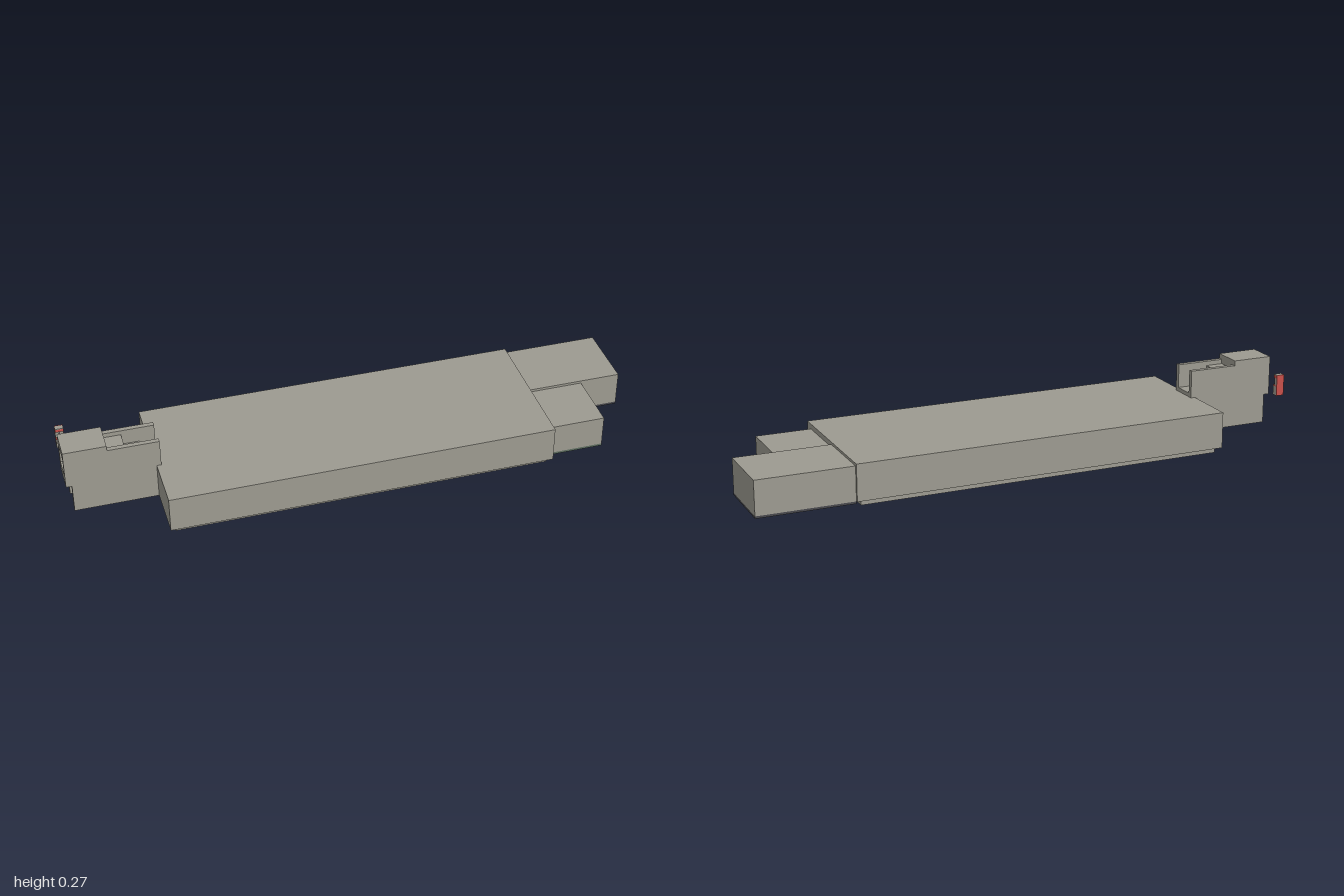
import * as THREE from 'three';

const material = (name, color) => {
  const m = new THREE.MeshStandardMaterial({ color });
  m.name = name;
  return m;
};

export function createModel() {
  const model = new THREE.Group();
  const concrete = material('warm grey', 0x9c9a90);
  const charcoal = material('charcoal', 0x48484c);
  const darkGreen = material('dark green', 0x5e6e60);
  const red = material('red', 0xc8504a);

  // Box given by its minimum and maximum along each axis
  const block = (name, mat, x0, x1, y0, y1, z0, z1, parent = model) => {
    const mesh = new THREE.Mesh(new THREE.BoxGeometry(x1 - x0, y1 - y0, z1 - z0), mat);
    mesh.position.set((x0 + x1) / 2, (y0 + y1) / 2, (z0 + z1) / 2);
    mesh.name = name;
    parent.add(mesh);
    return mesh;
  };

  // Main hall on a recessed plinth
  block('plinth', concrete, -0.672, 0.643, 0, 0.02, -0.233, 0.233);
  block('mainHall', concrete, -0.692, 0.661, 0.02, 0.149, -0.251, 0.251);

  // Two end wings of unequal length, with dark undersides
  block('longWing', concrete, 0.661, 1, 0.019, 0.14, -0.242, 0);
  block('longWingBase', charcoal, 0.661, 1, 0.011, 0.019, -0.242, 0);
  block('shortWing', concrete, 0.661, 0.857, 0.019, 0.131, 0, 0.215);
  block('shortWingBase', darkGreen, 0.661, 0.857, 0.011, 0.019, 0, 0.215);

  // Entrance tower: two stepped side walls with a channel between
  const tower = new THREE.Group();
  tower.name = 'tower';
  model.add(tower);
  const outline = new THREE.Shape([
    [-0.98, 0.02], [-0.676, 0.02], [-0.676, 0.248], [-0.853, 0.248],
    [-0.853, 0.266], [-1, 0.266], [-1, 0.125], [-0.98, 0.125],
  ].map(([x, y]) => new THREE.Vector2(x, y)));
  const wallGeometry = new THREE.ExtrudeGeometry(outline, { depth: 0.017, bevelEnabled: false });
  for (const [name, z] of [['frontWall', 0.043], ['backWall', -0.05]]) {
    const wall = new THREE.Mesh(wallGeometry, concrete);
    wall.name = name;
    wall.position.z = z;
    tower.add(wall);
  }
  const inside = (name, x0, x1, y0, y1) =>
    block(name, concrete, x0, x1, y0, y1, -0.033, 0.043, tower);
  inside('towerRoof', -1, -0.853, 0.247, 0.266);
  inside('towerFloor', -1, -0.676, 0.125, 0.163);
  inside('doorLintel', -1, -0.985, 0.232, 0.247);
  inside('doorPanel', -0.985, -0.97, 0.163, 0.247);
  inside('upperLedge', -0.853, -0.79, 0.215, 0.232);
  inside('lowerLedge', -0.853, -0.73, 0.172, 0.192);

  // Window frame on the inner end of the tower
  block('innerPanel', concrete, -0.87, -0.853, 0.163, 0.247, -0.033, 0.043, tower);
  block('innerWindow', concrete, -0.853, -0.845, 0.192, 0.215, -0.018, 0.03, tower);

  // Small red-faced kiosk standing beside the tower
  const kiosk = new THREE.Group();
  kiosk.name = 'kiosk';
  model.add(kiosk);
  block('kioskPost', concrete, -0.997, -0.968, 0.149, 0.182, -0.15, -0.129, kiosk);
  block('kioskBand', red, -0.997, -0.968, 0.182, 0.186, -0.15, -0.129, kiosk);
  block('kioskBody', concrete, -0.997, -0.968, 0.186, 0.212, -0.15, -0.138, kiosk);
  block('kioskHead', red, -0.997, -0.968, 0.212, 0.222, -0.15, -0.132, kiosk);
  block('kioskCap', concrete, -0.997, -0.968, 0.222, 0.225, -0.15, -0.132, kiosk);
  block('kioskBackPanel', red, -0.997, -0.968, 0.149, 0.225, -0.153, -0.15, kiosk);
  block('kioskHandle', charcoal, -0.985, -0.98, 0.188, 0.211, -0.14, -0.136, kiosk);
  block('kioskShelf', charcoal, -0.988, -0.977, 0.183, 0.186, -0.129, -0.121, kiosk);

  return model;
}
